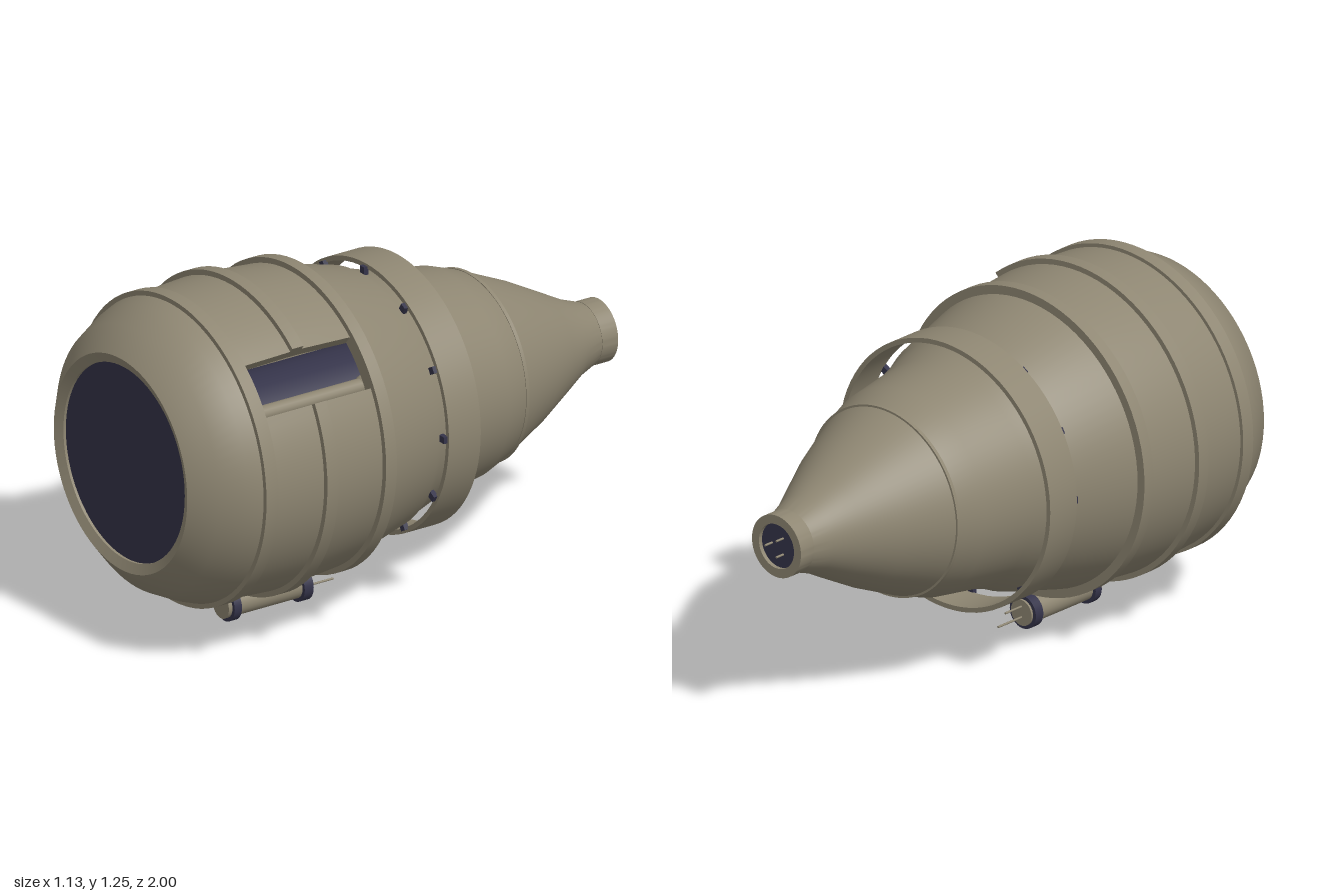
import * as THREE from 'three';
import { toCreasedNormals } from 'three/addons/utils/BufferGeometryUtils.js';

const tan = new THREE.MeshStandardMaterial({ color: 0x8e8672, side: THREE.DoubleSide });
tan.name = 'khaki metal';
const navy = new THREE.MeshStandardMaterial({ color: 0x35344a });
navy.name = 'dark navy';

const AXIS_Y = 0.683;
const SLOT = [29.5, 50].map(THREE.MathUtils.degToRad); // angles of the side opening

// Revolves closed [radius, z] outlines about the z axis.
function ring(points, start = 0, length = Math.PI * 2) {
  const loop = [...points, points[0]].map(([r, z]) => new THREE.Vector2(r, z));
  const geo = new THREE.LatheGeometry(loop, 80, start, length).rotateX(Math.PI / 2);
  return toCreasedNormals(geo, 0.6);
}

// Turns an outer outline (rear to front) into a shell of even thickness.
function shell(outer, t) {
  return [...outer, ...outer.slice().reverse().map(([r, z]) => [r - t, z])];
}

function band(r0, r1, z0, z1) {
  return [[r1, z0], [r1, z1], [r0, z1], [r0, z0]];
}

function add(parent, name, geo, mat, x = 0, y = 0, z = 0) {
  const mesh = new THREE.Mesh(geo, mat);
  mesh.name = name;
  mesh.position.set(x, y, z);
  parent.add(mesh);
  return mesh;
}

// Cylinder lying along z between two depths.
function rod(r, z0, z1, sides = 32) {
  return new THREE.CylinderGeometry(r, r, z1 - z0, sides)
    .rotateX(Math.PI / 2).translate(0, 0, (z0 + z1) / 2);
}

// Ring left open at the slot, with flat walls closing both cut ends.
function slottedRing(parent, name, points) {
  const group = new THREE.Group();
  group.name = name;
  parent.add(group);
  const gap = SLOT[1] - SLOT[0];
  add(group, name + 'Wall', ring(points, SLOT[1] + Math.PI / 2, Math.PI * 2 - gap), tan);
  for (const a of SLOT) {
    const c = Math.cos(a), s = Math.sin(a);
    const cap = new THREE.ShapeGeometry(new THREE.Shape(points.map(([r, z]) => new THREE.Vector2(r, z))));
    cap.applyMatrix4(new THREE.Matrix4().makeBasis(
      new THREE.Vector3(c, s, 0), new THREE.Vector3(0, 0, 1), new THREE.Vector3(s, -c, 0)));
    add(group, name + 'CutEnd', cap, tan);
  }
}

export function createModel() {
  const model = new THREE.Group();
  model.name = 'engineBody';
  const body = new THREE.Group();
  body.name = 'hull';
  body.position.y = AXIS_Y;
  model.add(body);

  // Front cowl with its rounded lip
  add(body, 'frontCowl', ring([
    [0.537, 0.74], [0.533, 0.79], [0.515, 0.84], [0.47, 0.93], [0.385, 1.0],
    [0.35, 0.985], [0.35, 0.95], [0.43, 0.9], [0.497, 0.74],
  ]), tan);
  add(body, 'frontFace', rod(0.352, 0.955, 0.975, 64), navy);

  // Middle shell, open at the slot
  slottedRing(body, 'middleShell', shell([[0.53, 0.295], [0.548, 0.5], [0.548, 0.55], [0.537, 0.74]], 0.04));
  slottedRing(body, 'middleBand', band(0.53, 0.567, 0.503, 0.55));

  // Tapering rear shell
  add(body, 'rearShell', ring(shell([
    [0.105, -0.93], [0.138, -0.84], [0.19, -0.745], [0.257, -0.62], [0.335, -0.445],
    [0.37, -0.345], [0.4, -0.14], [0.44, -0.015], [0.457, 0.015], [0.53, 0.295],
  ], 0.035)), tan);

  // Raised bands
  add(body, 'frontBand', ring(band(0.51, 0.55, 0.74, 0.79)), tan);
  add(body, 'rearBand', ring(band(0.5, 0.55, 0.25, 0.295)), tan);
  add(body, 'coneBand', ring(band(0.31, 0.34, -0.45, -0.437)), tan);

  // Standoff collar held by twelve bolts
  add(body, 'collar', ring(band(0.466, 0.483, -0.145, -0.013)), tan);
  for (let i = 0; i < 12; i++) {
    const a = i * Math.PI / 6;
    const bolt = add(body, 'collarBolt', new THREE.BoxGeometry(0.03, 0.024, 0.018), navy,
      0.459 * Math.cos(a), 0.459 * Math.sin(a), -0.008);
    bolt.rotation.z = a;
  }

  // Rear socket with contact pins
  add(body, 'socketRim', ring(band(0.08, 0.112, -0.98, -0.915)), tan);
  add(body, 'socketFace', rod(0.082, -0.965, -0.95), navy);
  for (let i = 0; i < 3; i++) {
    const a = i * Math.PI * 2 / 3;
    add(body, 'socketPin', rod(0.004, -1, -0.955, 8), tan, 0.034 * Math.cos(a), 0.034 * Math.sin(a));
  }

  // Inner core and rod seen through the slot
  add(body, 'core', rod(0.19, -0.1, 0.9), navy);
  const rodX = 0.2 * Math.cos(0.65), rodY = 0.2 * Math.sin(0.65);
  add(body, 'coreRod', rod(0.028, 0.1, 0.6, 16), tan, rodX, rodY);
  add(body, 'coreRodBall', new THREE.SphereGeometry(0.038, 20, 14), tan, rodX, rodY, 0.1);

  // Small canister slung underneath
  const pod = new THREE.Group();
  pod.name = 'canister';
  pod.position.y = 0.063;
  model.add(pod);
  add(pod, 'canisterBody', rod(0.047, 0.235, 0.585), tan);
  add(pod, 'canisterFrontRing', rod(0.06, 0.54, 0.57), navy);
  add(pod, 'canisterRearRing', rod(0.06, 0.243, 0.28), navy);
  add(pod, 'canisterUpperLead', rod(0.004, 0.155, 0.24, 8), tan, 0, 0.022);
  add(pod, 'canisterLowerLead', rod(0.004, 0.12, 0.24, 8), tan, 0, -0.017);

  return model;
}
